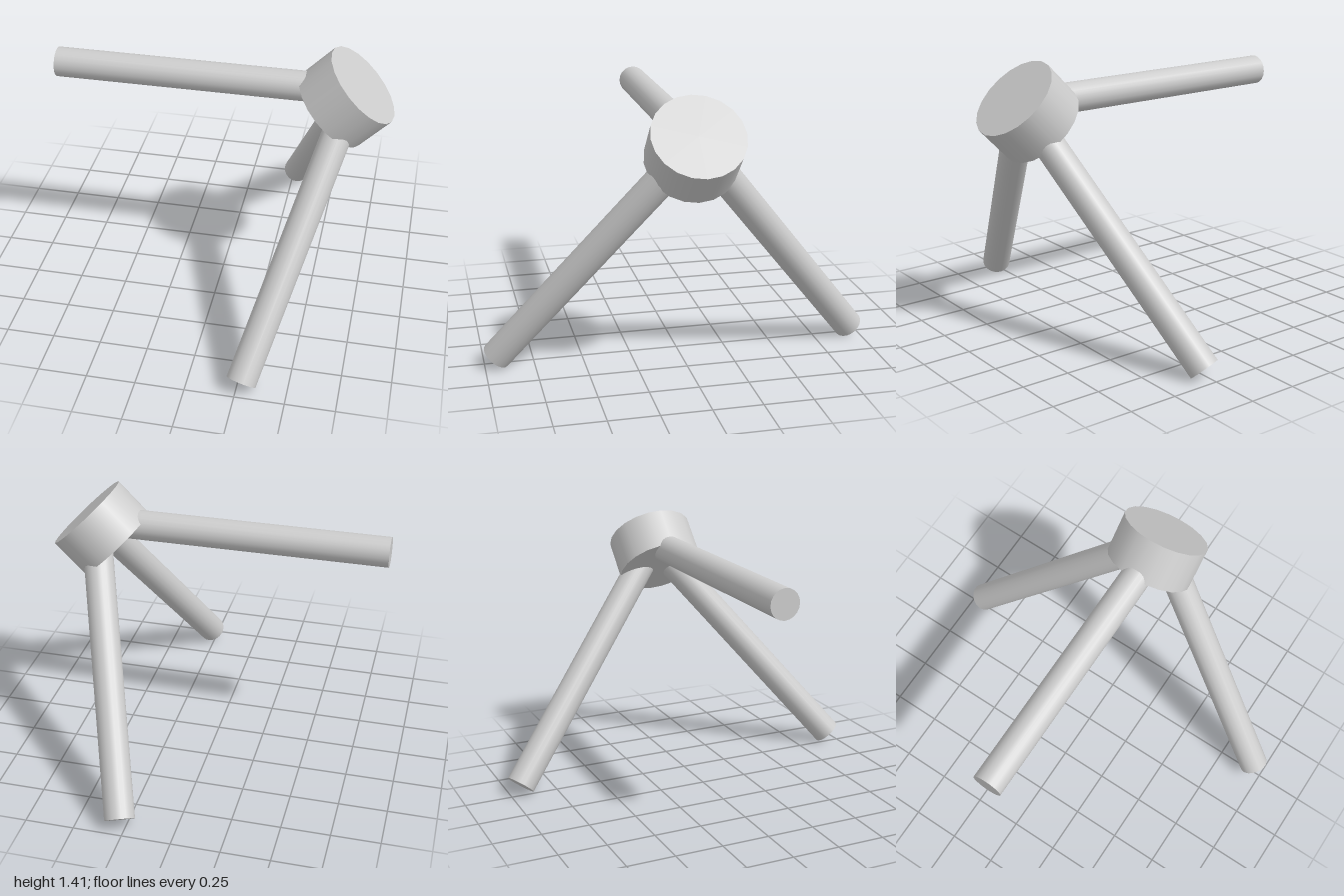
import * as THREE from 'three';

const material = new THREE.MeshStandardMaterial({ color: 0xcccccc });
const UP = new THREE.Vector3(0, 1, 0);

// Closed cylinder running from one point to another
function rod(name, from, to, radius, sides) {
  const axis = to.clone().sub(from);
  const mesh = new THREE.Mesh(new THREE.CylinderGeometry(radius, radius, axis.length(), sides), material);
  mesh.position.copy(from).add(to).multiplyScalar(0.5);
  mesh.quaternion.setFromUnitVectors(UP, axis.normalize());
  mesh.name = name;
  return mesh;
}

export function createModel() {
  const group = new THREE.Group();
  group.name = 'threeLeggedHub';

  // Tilted disc that joins the legs
  group.add(rod('hubDisc', new THREE.Vector3(0.55, 1.09, 0), new THREE.Vector3(0.703, 1.247, 0), 0.23, 20));

  // Three equal legs spreading from one point inside the disc
  const joint = new THREE.Vector3(0.657, 1.207, 0);
  const feet = {
    sideLeg: [-0.87, 1.207, 0],
    frontLeg: [0.275, 0.053, 0.941],
    backLeg: [0.275, 0.053, -0.941],
  };
  for (const [name, foot] of Object.entries(feet)) {
    group.add(rod(name, joint, new THREE.Vector3(...foot), 0.077, 20));
  }
  return group;
}
